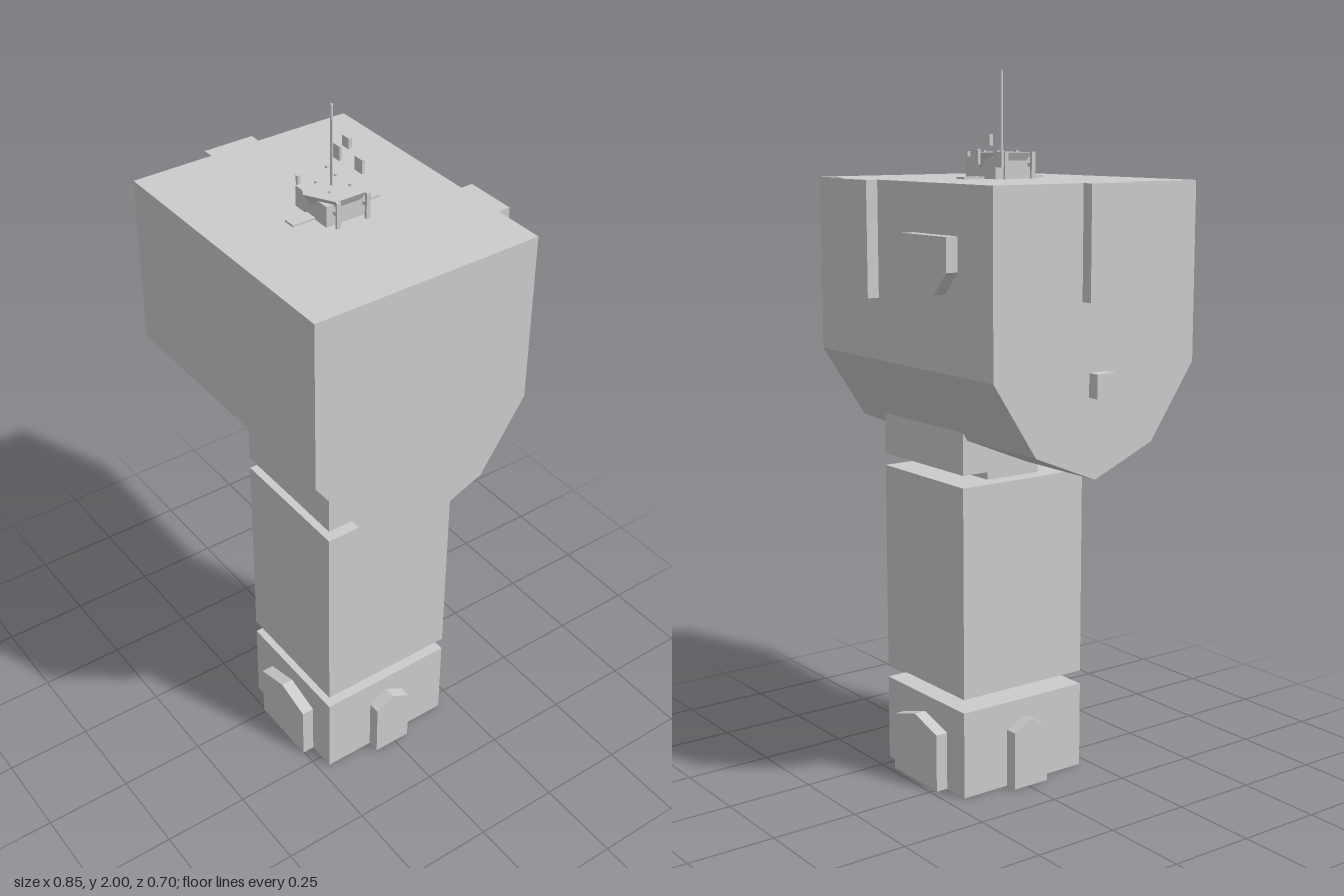
import * as THREE from 'three';

const grey = new THREE.MeshStandardMaterial({ color: 0xcccccc, flatShading: true });

function add(parent, name, geometry) {
  const mesh = new THREE.Mesh(geometry, grey);
  mesh.name = name;
  parent.add(mesh);
  return mesh;
}

// Box given by its limits on each axis
function box(parent, name, x0, x1, y0, y1, z0, z1) {
  const mesh = add(parent, name, new THREE.BoxGeometry(x1 - x0, y1 - y0, z1 - z0));
  mesh.position.set((x0 + x1) / 2, (y0 + y1) / 2, (z0 + z1) / 2);
  return mesh;
}

// Outline of [x, y] points extruded along +z
function prism(parent, name, points, depth) {
  const shape = new THREE.Shape(points.map(([x, y]) => new THREE.Vector2(x, y)));
  return add(parent, name, new THREE.ExtrudeGeometry(shape, { depth, bevelEnabled: false }));
}

// Square column with recessed joints and gabled plaques around the foot
function buildColumn() {
  const column = new THREE.Group();
  column.name = 'column';
  const X0 = -0.095, X1 = 0.29, Z0 = -0.198, Z1 = 0.217;
  box(column, 'base', X0, X1, 0, 0.25, Z0, Z1);
  box(column, 'lowerJoint', 0, 0.19, 0.25, 0.29, -0.065, 0.085);
  box(column, 'shaft', X0, X1, 0.29, 0.89, Z0, Z1);
  box(column, 'upperJoint', -0.045, 0.19, 0.89, 0.925, -0.08, 0.095);
  box(column, 'capital', X0, X1, 0.925, 1.05, Z0, Z1);

  const cx = (X0 + X1) / 2, cz = (Z0 + Z1) / 2;
  for (let i = 0; i < 4; i++) {
    const side = i % 2;
    const half = side ? 0.058 : 0.108;
    const reach = side ? (X1 - X0) / 2 : (Z1 - Z0) / 2;
    const plaque = prism(column, 'basePlaque',
      [[-half, 0], [half, 0], [half, 0.168], [0, 0.2], [-half, 0.168]], 0.036);
    const angle = i * Math.PI / 2;
    plaque.rotation.y = angle;
    plaque.position.set(cx + Math.sin(angle) * reach, 0, cz + Math.cos(angle) * reach);
  }
  return column;
}

// Large block with a keel-shaped underside
function buildHead() {
  const head = new THREE.Group();
  head.name = 'head';
  const profile = [
    [0.352, 1.71], [0.352, 1.225], [0.207, 1.02], [0.012, 0.94],
    [-0.183, 1.02], [-0.318, 1.225], [-0.318, 1.71],
  ].map(([z, y]) => [-z, y]);
  const hull = prism(head, 'hull', profile, 0.82);
  hull.rotation.y = Math.PI / 2;
  hull.position.x = -0.395;

  box(head, 'rearTallPanel', 0.125, 0.275, 1.395, 1.71, -0.353, -0.318);
  box(head, 'rightTallPanel', -0.428, -0.395, 1.41, 1.71, -0.035, 0.115);
  box(head, 'rightSmallBox', -0.428, -0.395, 1.16, 1.225, -0.01, 0.05);
  const hatch = prism(head, 'rearHatch', [
    [-0.245, 1.58], [-0.245, 1.49], [-0.19, 1.43],
    [-0.1, 1.43], [-0.045, 1.49], [-0.045, 1.58],
  ], 0.035);
  hatch.position.z = -0.353;
  return head;
}

// Small hexagonal mast station on the roof
function buildRoofStation() {
  const station = new THREE.Group();
  station.name = 'roofStation';
  const cx = 0.023, cz = 0.015;
  const dish = add(station, 'flaredDeck', new THREE.CylinderGeometry(0.091, 0.05, 0.07, 6));
  dish.position.set(cx, 1.745, cz);
  box(station, 'stationBlock', -0.045, 0.09, 1.71, 1.768, -0.051, 0.082);
  box(station, 'walkway', 0.005, 0.041, 1.71, 1.716, -0.119, 0.149);
  const mast = add(station, 'mast', new THREE.CylinderGeometry(0.004, 0.004, 0.24, 6));
  mast.position.set(cx, 1.88, 0.019);

  for (const sx of [-1, 1]) {
    for (const sz of [-1, 1]) {
      const px = cx + sx * 0.086, pz = cz + sz * 0.045;
      box(station, 'cornerPost', px - 0.004, px + 0.004, 1.71, 1.782, pz - 0.006, pz + 0.006);
      // Bracket ties the post to the deck
      const bx = cx + sx * 0.076;
      box(station, 'postBracket', bx - 0.008, bx + 0.008, 1.742, 1.752, pz - 0.003, pz + 0.003);
      const qx = cx + sx * 0.031, qz = cz + sz * 0.031;
      box(station, 'deckPin', qx - 0.003, qx + 0.003, 1.77, 1.786, qz - 0.003, qz + 0.003);
    }
  }

  // Loose plates hovering behind the mast
  box(station, 'floatingPlate', -0.157, -0.12, 1.745, 1.786, -0.115, -0.107);
  box(station, 'floatingPlate', -0.104, -0.075, 1.8, 1.83, -0.115, -0.103);
  box(station, 'floatingPlate', -0.053, -0.02, 1.75, 1.79, -0.115, -0.107);
  return station;
}

export function createModel() {
  const model = new THREE.Group();
  model.name = 'tower';
  model.add(buildColumn(), buildHead(), buildRoofStation());
  return model;
}
